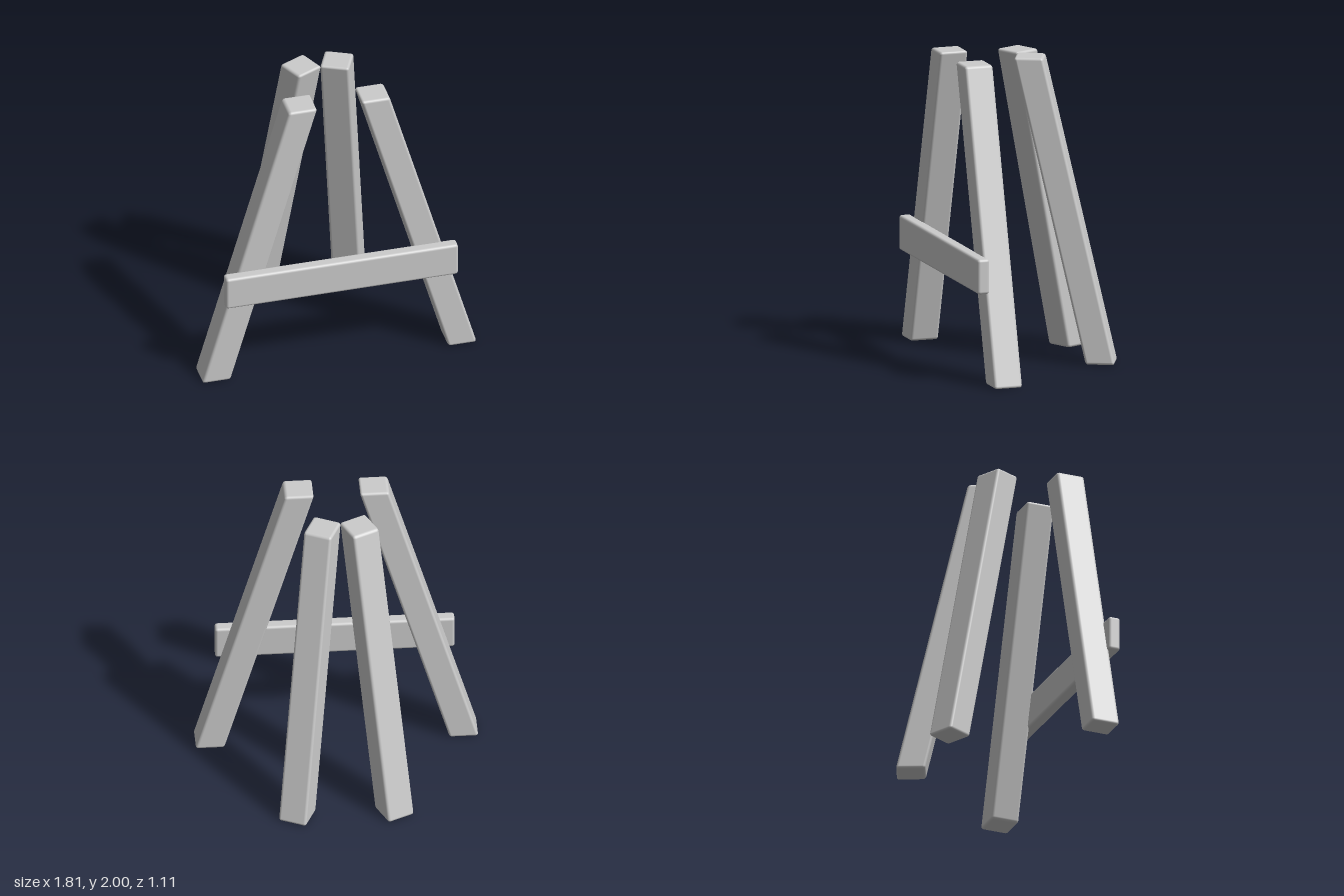
import * as THREE from 'three';
import { RoundedBoxGeometry } from 'three/addons/geometries/RoundedBoxGeometry.js';

const HEIGHT = 2, THICK = 0.188, BEVEL = 0.018;

export function createModel() {
  const model = new THREE.Group();
  model.name = 'trestleFrame';
  const material = new THREE.MeshStandardMaterial({ color: 0xcccccc });

  function add(name, geometry) {
    const mesh = new THREE.Mesh(geometry, material);
    mesh.name = name;
    model.add(mesh);
    return mesh;
  }

  // A square post turned by yaw, then sheared so both ends stay level
  function leaningPost(top, bottom, yaw) {
    const [tx, tz] = top, [bx, bz] = bottom;
    const shear = new THREE.Matrix4().set(
      1, (tx - bx) / HEIGHT, 0, (tx + bx) / 2,
      0, 1, 0, HEIGHT / 2,
      0, (tz - bz) / HEIGHT, 1, (tz + bz) / 2,
      0, 0, 0, 1
    );
    return new RoundedBoxGeometry(THICK, HEIGHT, THICK, 2, BEVEL)
      .rotateY(yaw)
      .applyMatrix4(shear);
  }

  for (const [side, s] of [['left', 1], ['right', -1]]) {
    // Front legs splay sideways only
    add(side + 'FrontLeg', leaningPost([s * 0.24, 0.398], [s * 0.817, 0.398], 0));
    // Rear legs lean outward and back, turned to face their lean
    add(side + 'RearLeg', leaningPost([s * 0.118, -0.02], [s * 0.313, -0.44], -s * THREE.MathUtils.degToRad(25)));
  }

  // Crossbar let slightly into the front legs
  add('crossbar', new RoundedBoxGeometry(1.54, 0.228, 0.08, 2, BEVEL)).position.set(0, 0.711, 0.518);

  return model;
}
